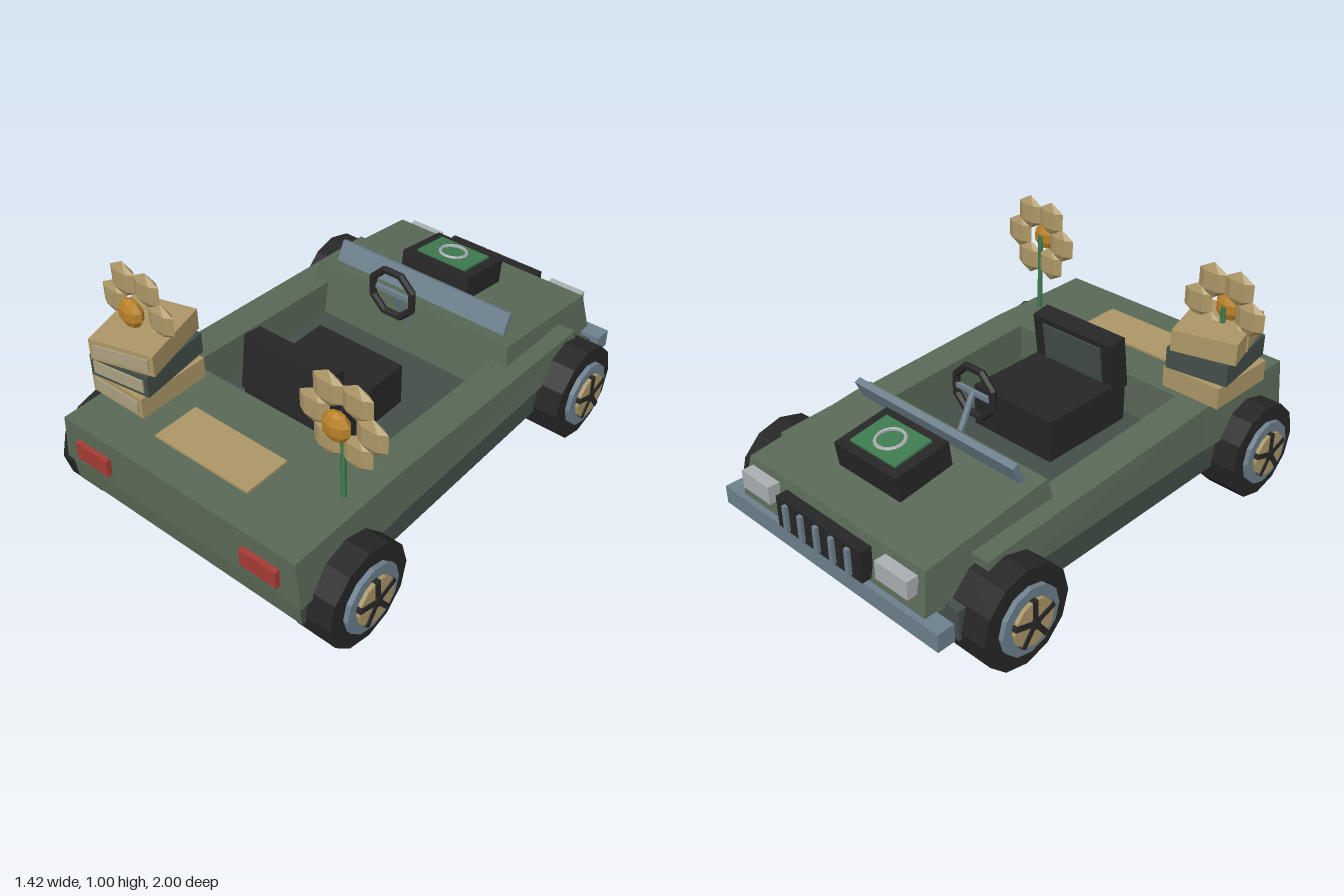
import * as THREE from 'three';

const mat = (name, color) => {
  const m = new THREE.MeshStandardMaterial({ color, flatShading: true });
  m.name = name;
  return m;
};

export function createModel() {
  const model = new THREE.Group();
  model.name = 'openBuggy';
  const green = mat('body green', 0x596956);
  const dark = mat('dark green', 0x434e49);
  const black = mat('black', 0x262626);
  const steel = mat('blue grey', 0x6c7f8c);
  const tan = mat('tan', 0xac9666);
  const gold = mat('gold', 0xb98128);
  const red = mat('red', 0xa63a34);
  const lamp = mat('lamp grey', 0xa9aeb0);
  const page = mat('page beige', 0xaaa080);
  const leaf = mat('leaf green', 0x3f7a50);

  const add = (name, geo, m, x = 0, y = 0, z = 0, parent = model) => {
    const mesh = new THREE.Mesh(geo, m);
    mesh.name = name;
    mesh.position.set(x, y, z);
    parent.add(mesh);
    return mesh;
  };
  const box = (name, m, w, h, d, x, y, z, parent) =>
    add(name, new THREE.BoxGeometry(w, h, d), m, x, y, z, parent);
  // six-sided block whose corners are placed by a rule on the signs of x, y, z
  const block = (name, m, rule) => {
    const geo = new THREE.BoxGeometry(2, 2, 2);
    const p = geo.attributes.position;
    for (let i = 0; i < p.count; i++) p.setXYZ(i, ...rule(p.getX(i), p.getY(i), p.getZ(i)));
    geo.computeVertexNormals();
    return add(name, geo, m);
  };
  const group = (name, x, y, z) => {
    const g = new THREE.Group();
    g.name = name;
    g.position.set(x, y, z);
    model.add(g);
    return g;
  };

  // chassis, with the tail end in body colour
  block('chassis', [dark, dark, dark, dark, green, dark], (x, y, z) => [
    x * 0.563, y > 0 ? 0.305 : 0.18, z > 0 ? (y > 0 ? 0.975 : 0.96) : -0.86]);

  // tail deck, side rails, sloping hood
  block('tailDeck', green, (x, y, z) => [
    x * (y > 0 ? 0.56 : 0.58), y > 0 ? 0.485 : 0.285 + (z > 0 ? 0 : 0.02), z > 0 ? 0.98 : 0.46]);
  for (const s of [-1, 1]) {
    block('sideRail', green, (x, y, z) => [
      x * s > 0 ? s * (y > 0 ? 0.56 : 0.577) : s * 0.42,
      y > 0 ? (z > 0 ? 0.485 : 0.425) : 0.305,
      z > 0 ? 0.46 : -0.72]);
  }
  block('hood', green, (x, y, z) => z > 0
    ? [x * (y > 0 ? 0.475 : 0.515), y > 0 ? 0.525 : 0.3, y > 0 ? -0.34 : -0.3]
    : [x * (y > 0 ? 0.475 : 0.5), y > 0 ? 0.455 : 0.285, y > 0 ? -0.915 : -0.95]);

  // bumper, grille and lamps
  box('bumper', steel, 1.17, 0.075, 0.075, 0, 0.255, -0.935);
  box('grille', black, 0.46, 0.13, 0.05, 0, 0.37, -0.96);
  for (let i = -2; i <= 2; i++) box('grilleSlat', steel, 0.02, 0.11, 0.02, i * 0.085, 0.37, -0.99);
  for (const s of [-1, 1]) {
    box('headlamp', lamp, 0.16, 0.075, 0.05, s * 0.37, 0.395, -0.95);
    box('tailLamp', red, 0.165, 0.075, 0.03, s * 0.407, 0.378, 0.985);
  }

  // wheels
  for (const s of [-1, 1]) for (const z of [0.74, -0.645]) {
    const wheel = group('wheel', s * 0.585, 0.207, z);
    const disc = (name, m, r, h, x, n) =>
      add(name, new THREE.CylinderGeometry(r, r, h, n).rotateZ(Math.PI / 2), m, s * x, 0, 0, wheel);
    disc('tyre', black, 0.205, 0.17, 0, 12);
    disc('rim', steel, 0.138, 0.03, 0.09, 12);
    disc('hubPlate', tan, 0.095, 0.02, 0.11, 12);
    disc('hubCap', black, 0.025, 0.03, 0.112, 8);
    for (let i = 0; i < 5; i++) {
      const spoke = new THREE.BoxGeometry(0.022, 0.095, 0.022).translate(0, 0.05, 0)
        .rotateX((i * Math.PI * 2) / 5);
      add('spoke', spoke, black, s * 0.114, 0, 0, wheel);
    }
  }

  // seat with inset back panel
  box('seatCushion', black, 0.41, 0.18, 0.44, 0, 0.4, 0.19);
  const back = group('seatBack', 0, 0.57, 0.367);
  back.rotation.x = -0.14;
  box('seatBackFrame', black, 0.41, 0.23, 0.085, 0, 0, 0, back);
  box('seatBackPanel', dark, 0.3, 0.16, 0.008, 0, 0.01, -0.046, back);

  // steering wheel and column
  add('steeringWheel', new THREE.TorusGeometry(0.104, 0.016, 6, 8).rotateZ(Math.PI / 8), black, 0, 0.628, -0.227);
  box('steeringSpoke', steel, 0.19, 0.02, 0.015, 0, 0.628, -0.232);
  const column = add('steeringColumn', new THREE.CylinderGeometry(0.013, 0.013, 0.23, 6), steel, 0, 0.53, -0.285);
  column.rotation.x = 0.46;

  // low windscreen rail
  box('windscreenRail', steel, 0.84, 0.09, 0.028, 0, 0.56, -0.424).rotation.x = -0.46;

  // case on the hood
  const chest = group('hoodCase', 0, 0.55, -0.63);
  chest.rotation.x = -0.14;
  box('caseBody', black, 0.33, 0.105, 0.25, 0, 0, 0, chest);
  box('caseLid', leaf, 0.24, 0.012, 0.175, 0, 0.056, 0, chest);
  add('caseRing', new THREE.TorusGeometry(0.056, 0.007, 5, 16).rotateX(Math.PI / 2), lamp, 0, 0.066, 0, chest);

  // mat and book stack on the deck
  box('deckMat', tan, 0.45, 0.012, 0.2, 0, 0.489, 0.745);
  [[tan, 0.53, 0, -0.463], [dark, 0.628, 0.14, -0.46], [tan, 0.718, 0.28, -0.46]].forEach(([m, y, turn, x]) => {
    const book = group('book', x, y, 0.647);
    book.rotation.y = turn;
    box('bookCover', m, 0.265, 0.09, 0.315, 0, 0, 0, book);
    box('bookPages', page, 0.228, 0.053, 0.008, 0, 0, 0.16, book);
  });

  // flowers
  for (const s of [-1, 1]) {
    const flower = group('flower', s * 0.48, 0.82, 0.645);
    add('stem', new THREE.CylinderGeometry(0.011, 0.011, 0.36, 6), leaf, 0, -0.17, 0, flower);
    for (let i = 0; i < 6; i++) {
      const a = (i * Math.PI) / 3;
      add('petal', new THREE.SphereGeometry(0.075, 6, 3).scale(1, 1, 0.32), tan,
        0.12 * Math.cos(a), 0.12 * Math.sin(a), 0, flower);
    }
    add('flowerCentre', new THREE.SphereGeometry(0.06, 8, 5).scale(1, 1, 0.6), gold, 0, 0, 0.033, flower);
  }
  return model;
}
